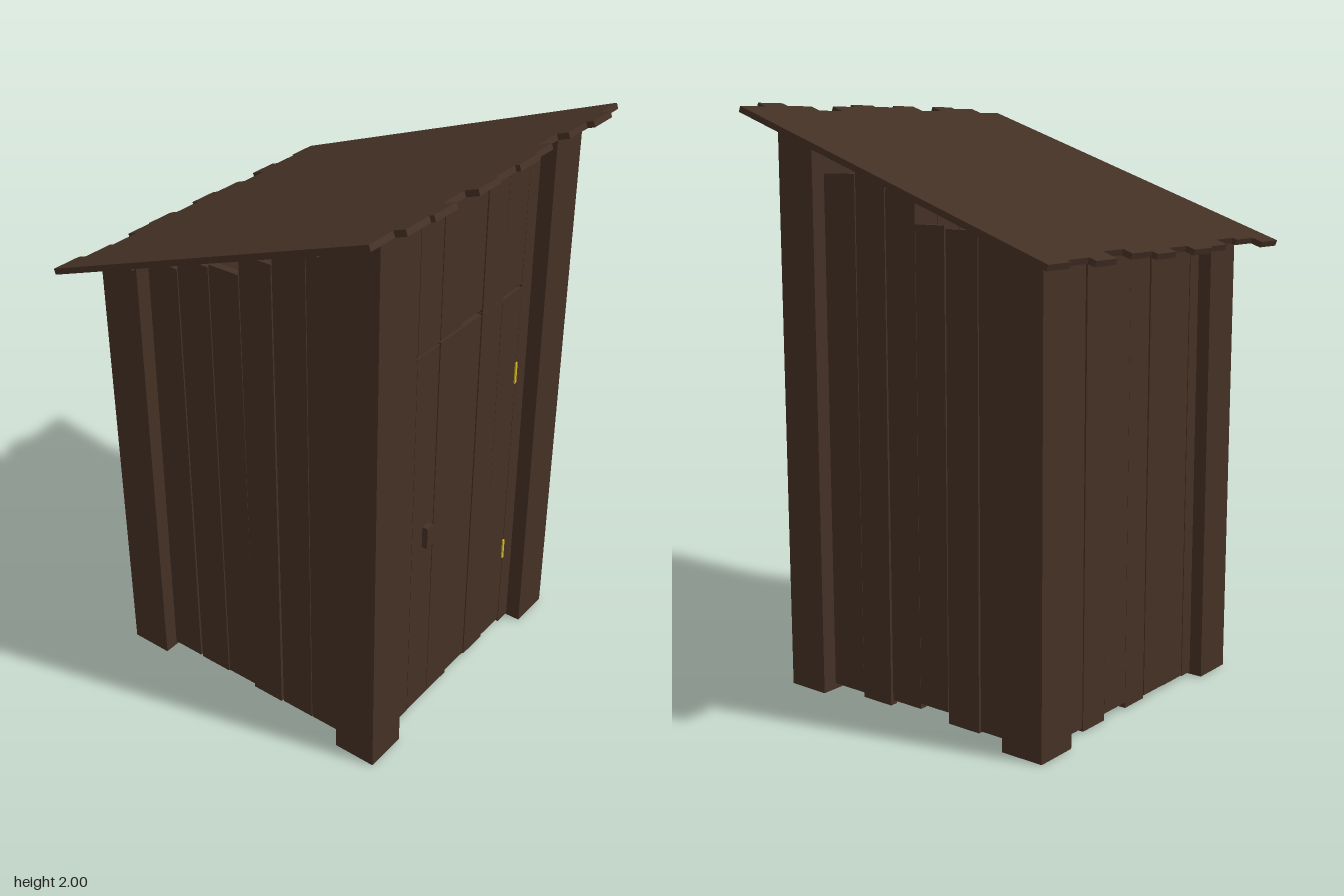
import * as THREE from 'three';

const wood = new THREE.MeshStandardMaterial({ color: 0x443025 });
const brass = new THREE.MeshStandardMaterial({ color: 0xd4b81e });

const SLOPE = 0.358;                          // roof rise per unit of z
const roofY = (z) => 1.757 + SLOPE * z;       // middle of the roof boards
const roofTilt = -Math.atan(SLOPE);
const CORNER = 0.468;                         // post centre
const WALL = 0.482;                           // wall plank centre, set back from the posts
const RAIL = 0.455;                           // inner rail centre

export function createModel() {
  const model = new THREE.Group();
  model.name = 'shed';

  function box(parent, name, size, pos, mat = wood) {
    const m = new THREE.Mesh(new THREE.BoxGeometry(...size), mat);
    m.position.set(...pos);
    m.name = name;
    parent.add(m);
    return m;
  }
  function group(name) {
    const g = new THREE.Group();
    g.name = name;
    model.add(g);
    return g;
  }

  // Corner posts, tops cut to the roof slope
  const posts = group('cornerPosts');
  for (const sx of [-1, 1]) for (const sz of [-1, 1]) {
    const g = new THREE.BoxGeometry(0.154, 1, 0.154);
    g.translate(sx * CORNER, 0, sz * CORNER + 0.003);
    const p = g.attributes.position;
    for (let i = 0; i < p.count; i++) {
      p.setY(i, p.getY(i) > 0 ? roofY(p.getZ(i)) - 0.011 : 0.002);
    }
    g.computeVertexNormals();
    const post = new THREE.Mesh(g, wood);
    post.name = 'post';
    posts.add(post);
  }

  // A vertical plank on a wall; 'axis' is x for front and back, z for the sides
  function plank(parent, name, axis, from, to, bottom, top, out, i) {
    const w = to - from, h = top - bottom, mid = (from + to) / 2, y = (top + bottom) / 2;
    const jut = out + 0.002 * Math.sin(i * 2.3);
    const lean = 0.002 * Math.sin(i * 4.1 + out);
    if (axis === 'x') box(parent, name, [w, h, 0.028], [mid, y, jut]).rotation.z = lean;
    else box(parent, name, [0.028, h, w], [jut, y, mid]).rotation.x = lean;
  }

  // Side walls: planks run from front to back, stepping down under the roof
  const edges = [0.391, 0.251, 0.122, -0.006, -0.128, -0.258, -0.385];
  const sides = [
    { name: 'leftWall', s: 1, tops: [1.77, 1.79, 1.725, 1.62, 1.61, 1.6],
      bottoms: [0.025, 0.01, 0.03, 0.05, 0.012, 0.02] },
    { name: 'rightWall', s: -1, tops: [1.83, 1.78, 1.72, 1.645, 1.635, 1.59],
      bottoms: [0.015, 0.012, 0.01, 0.02, 0.015, 0.02] },
  ];
  for (const { name, s, tops, bottoms } of sides) {
    const wall = group(name);
    tops.forEach((top, i) => {
      plank(wall, 'plank', 'z', edges[i + 1] + 0.002, edges[i] - 0.002, bottoms[i], top, s * WALL, i);
    });
    for (const y of [0.11, 0.9]) box(wall, 'innerRail', [0.026, 0.05, 0.8], [s * RAIL, y, 0]);
  }

  // Back wall
  const back = group('backWall');
  const backEdges = [-0.39, -0.335, -0.215, -0.09, 0.022, 0.145, 0.265, 0.39];
  const backBottoms = [0.01, 0.012, 0.016, 0.005, 0.025, 0.004, 0.015];
  backBottoms.forEach((b, i) => {
    plank(back, 'plank', 'x', backEdges[i] + 0.001, backEdges[i + 1] - 0.001,
      b, 1.56 + 0.008 * Math.sin(i * 3), -WALL, i);
  });
  for (const y of [0.22, 0.75]) box(back, 'innerRail', [0.8, 0.05, 0.026], [0, y, -RAIL]);

  // Front wall around the door
  const front = group('frontWall');
  plank(front, 'plank', 'x', -0.391, -0.273, 0.012, 1.91, WALL, 0);
  plank(front, 'plank', 'x', 0.325, 0.386, 0.012, 1.91, WALL, 0);
  const doorX = (i) => -0.272 + i * 0.119;
  for (let i = 0; i < 5; i++) {
    plank(front, 'plankAboveDoor', 'x', doorX(i) + 0.001, doorX(i + 1) - 0.001,
      1.434 + 0.006 * (i % 3), 1.91, WALL, i);
  }

  // Door with ledges, handle and hinges
  const door = group('door');
  const doorBottoms = [0.016, 0.02, 0.026, 0.022, 0.03];
  doorBottoms.forEach((b, i) => {
    plank(door, 'doorPlank', 'x', doorX(i) + 0.001, doorX(i + 1) - 0.001,
      b, 1.428 + 0.004 * (i % 2), WALL, i);
  });
  for (const y of [0.35, 1.105]) box(door, 'doorLedge', [0.54, 0.06, 0.026], [0.025, y, RAIL]);
  box(door, 'handle', [0.034, 0.08, 0.024], [-0.197, 0.733, 0.505]);
  for (const y of [0.36, 1.105]) box(door, 'hinge', [0.01, 0.08, 0.02], [0.32, y, 0.491], brass);

  // Sloping roof boards with uneven ends
  const roof = group('roof');
  const frontEnds = [0.59, 0.63, 0.645, 0.6, 0.645, 0.63, 0.645, 0.625, 0.58, 0.62, 0.645, 0.61];
  const backEnds = [0.646, 0.611, 0.596, 0.636, 0.646, 0.616, 0.646, 0.626, 0.593, 0.646, 0.621, 0.636];
  const boardW = 1.304 / 12;
  frontEnds.forEach((f, i) => {
    const b = -backEnds[i], z = (f + b) / 2;
    const length = (f - b) * Math.hypot(1, SLOPE);
    box(roof, 'roofBoard', [boardW, 0.02, length],
      [-0.652 + (i + 0.5) * boardW, roofY(z), z]).rotation.x = roofTilt;
  });
  // Battens under the roof
  for (const z of [0.365, -0.355]) {
    box(roof, 'batten', [1.24, 0.016, 0.05], [0, roofY(z) - 0.018, z]).rotation.x = roofTilt;
  }

  return model;
}
